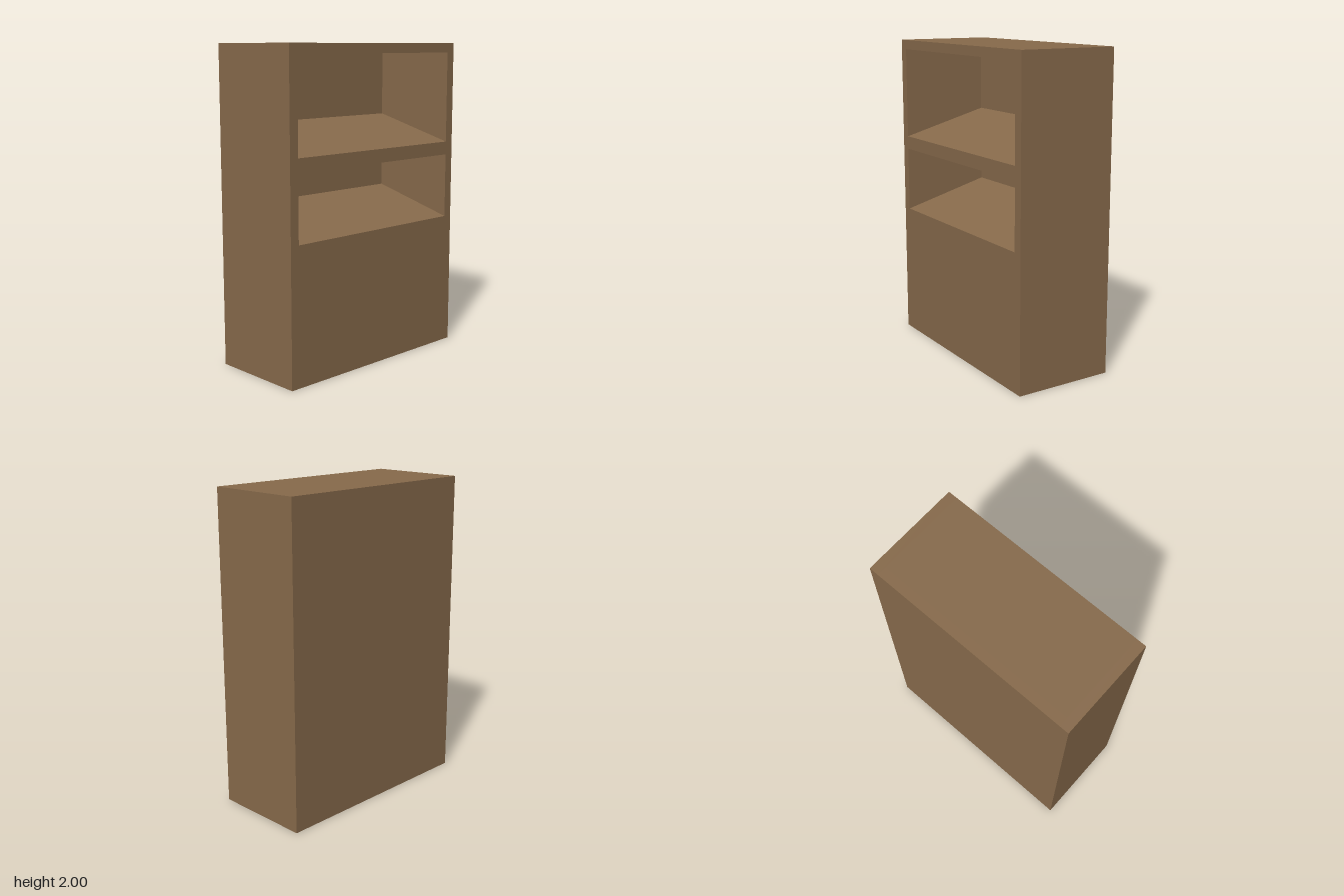
import * as THREE from 'three';

const X = 0.32, H = 2, Z = 0.71, T = 0.06;   // half width, height, half depth, board thickness
const SLOPE = Math.tan(Math.PI / 12);        // shelves rise towards the back

export function createModel() {
  const wood = new THREE.MeshStandardMaterial({ color: 0x876a4b });
  wood.name = 'brown wood';
  const group = new THREE.Group();
  group.name = 'shelfCabinet';

  const add = (name, geometry) => {
    const mesh = new THREE.Mesh(geometry, wood);
    mesh.name = name;
    group.add(mesh);
    return mesh;
  };
  const board = (name, x0, x1, y0, y1, z0, z1) =>
    add(name, new THREE.BoxGeometry(x1 - x0, y1 - y0, z1 - z0))
      .position.set((x0 + x1) / 2, (y0 + y1) / 2, (z0 + z1) / 2);

  // Board with an x-y profile, running between the two side panels
  const inner = Z - T;
  const profile = (name, points) => {
    const shape = new THREE.Shape(points.map(([x, y]) => new THREE.Vector2(x, y)));
    const geometry = new THREE.ExtrudeGeometry(shape, { depth: 2 * inner, bevelEnabled: false });
    add(name, geometry.translate(0, 0, -inner));
  };
  const rise = (x, y) => y + (X - x) * SLOPE;
  const slopedBoard = (name, x0, x1, bottom, top) => profile(name, [
    [x0, rise(x0, bottom)], [x1, rise(x1, bottom)], [x1, rise(x1, top)], [x0, rise(x0, top)],
  ]);

  // Outer case
  board('frontSidePanel', -X, X, 0, H, inner, Z);
  board('backSidePanel', -X, X, 0, H, -Z, -inner);
  board('rearPanel', -X, -X + T, 0, H, -inner, inner);
  board('topPanel', -X + T, X, H - T, H, -inner, inner);
  board('bottomPanel', -X + T, X - T, 0, T, -inner, inner);

  // Closed panel below the lower opening
  profile('lowerPanel', [[X - T, 0], [X, 0], [X, 0.86], [X - T, rise(X - T, 0.86)]]);

  // Tilted shelves, with the rail between the openings
  slopedBoard('middleRail', X - T, X, 1.275, 1.36);
  slopedBoard('upperShelf', -X + T, X - T, 1.275, 1.36);
  slopedBoard('lowerShelf', -X + T, X - T, 0.775, 0.86);

  return group;
}
